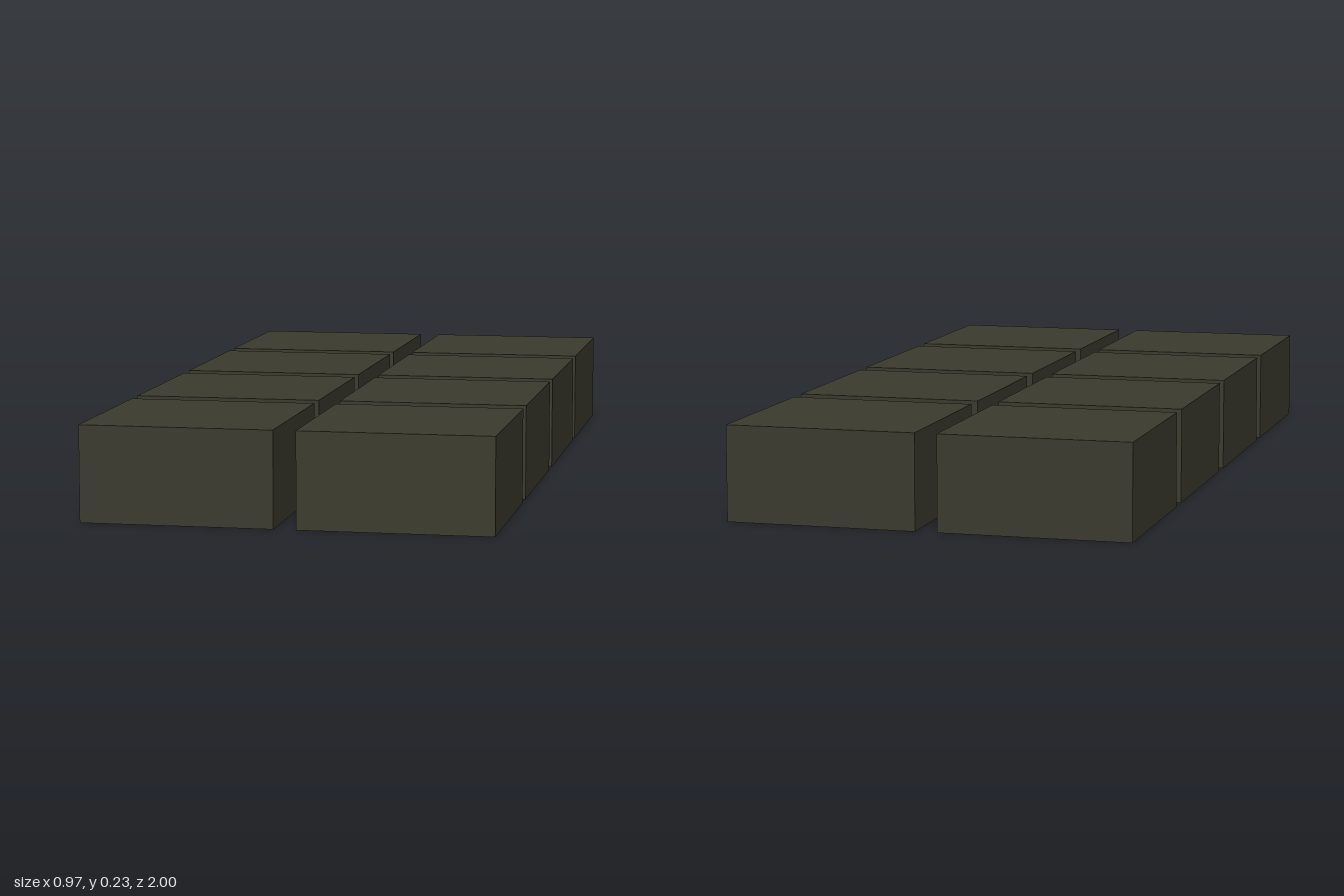
import * as THREE from 'three';

const SIZE = 0.46, HEIGHT = 0.23, PITCH = 1.54 / 3;

// Square cap with four walls, open underneath
function openBox() {
  const geometry = new THREE.BoxGeometry(SIZE, HEIGHT, SIZE);
  const index = Array.from(geometry.index.array);
  index.splice(18, 6); // remove the bottom face
  geometry.setIndex(index);
  geometry.clearGroups();
  return geometry.translate(0, HEIGHT / 2, 0);
}

export function createModel() {
  const model = new THREE.Group();
  model.name = 'blockGrid';

  const darkOlive = new THREE.MeshStandardMaterial({ color: 0x3b3a2d, side: THREE.DoubleSide });
  darkOlive.name = 'darkOlive';

  // Two columns of four hollow blocks
  const geometry = openBox();
  for (let row = 0; row < 4; row++) {
    for (let column = 0; column < 2; column++) {
      const block = new THREE.Mesh(geometry, darkOlive);
      block.name = `blockRow${row + 1}Column${column + 1}`;
      block.position.set((column - 0.5) * PITCH, 0, (row - 1.5) * PITCH);
      model.add(block);
    }
  }
  return model;
}
